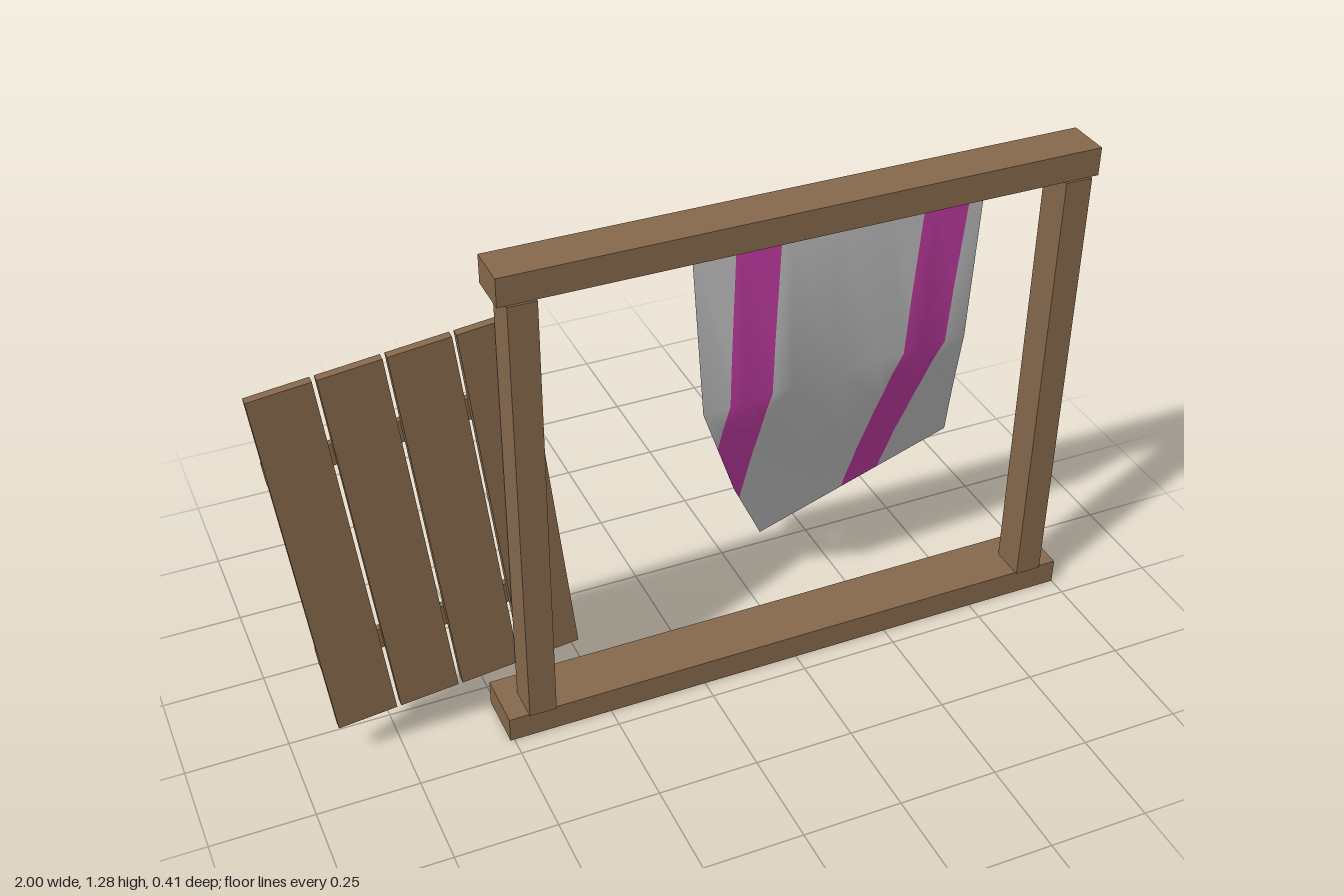
import * as THREE from 'three';
import { mergeVertices } from 'three/addons/utils/BufferGeometryUtils.js';

const material = (name, color, side = THREE.FrontSide) => {
  const m = new THREE.MeshStandardMaterial({ color, side });
  m.name = name;
  return m;
};

// Box given by its extents on each axis
function bar(name, mat, [x0, x1], [y0, y1], [z0, z1]) {
  const mesh = new THREE.Mesh(new THREE.BoxGeometry(x1 - x0, y1 - y0, z1 - z0), mat);
  mesh.position.set((x0 + x1) / 2, (y0 + y1) / 2, (z0 + z1) / 2);
  mesh.name = name;
  return mesh;
}

// Keep the part of a polygon where sign * (x - limit) >= 0
function clipX(poly, limit, sign) {
  const out = [];
  poly.forEach((a, i) => {
    const b = poly[(i + 1) % poly.length];
    const da = sign * (a.x - limit), db = sign * (b.x - limit);
    if (da >= 0) out.push(a);
    if (da * db < 0) out.push(a.clone().lerp(b, da / (da - db)));
  });
  return out;
}

// Hanging curtain: rows of left and right edge points, striped by x
function curtainGeometry() {
  const V = (x, y, z) => new THREE.Vector3(x, y, z);
  const rows = [
    [V(-0.025, 1.21, 0.16), V(0.695, 1.21, 0.16)],
    [V(0.01, 0.775, 0.15), V(0.715, 0.785, 0.105)],
    [V(0.165, 0.41, -0.005), V(0.797, 0.52, -0.05)],
    [V(0.292, 0.16, -0.11), V(0.88, 0.267, -0.2)],
  ];
  const columns = 6;
  const point = (r, c) => rows[r][0].clone().lerp(rows[r][1], c / columns);
  const triangles = [];
  for (let r = 0; r < rows.length - 1; r++) {
    for (let c = 0; c < columns; c++) {
      const a = point(r, c), b = point(r + 1, c), d = point(r + 1, c + 1), e = point(r, c + 1);
      triangles.push([a, b, d], [a, d, e]);
    }
  }
  const bounds = [-1, 0.08, 0.19, 0.545, 0.66, 2];
  const positions = [];
  const geometry = new THREE.BufferGeometry();
  for (let s = 0; s < 5; s++) {
    const start = positions.length / 3;
    for (const tri of triangles) {
      const poly = clipX(clipX(tri, bounds[s], 1), bounds[s + 1], -1);
      for (let i = 1; i < poly.length - 1; i++) {
        for (const p of [poly[0], poly[i], poly[i + 1]]) positions.push(p.x, p.y, p.z);
      }
    }
    geometry.addGroup(start, positions.length / 3 - start, s % 2);
  }
  geometry.setAttribute('position', new THREE.Float32BufferAttribute(positions, 3));
  const merged = mergeVertices(geometry);
  merged.computeVertexNormals();
  return merged;
}

export function createModel() {
  const wood = material('wood', 0x86694c);
  const cloth = material('cloth', 0xcacaca, THREE.DoubleSide);
  const stripe = material('stripe', 0xcb3fab, THREE.DoubleSide);
  const model = new THREE.Group();
  model.name = 'window';

  // Window frame
  const frame = new THREE.Group();
  frame.name = 'frame';
  frame.add(
    bar('sill', wood, [-0.51, 1], [0, 0.066], [0.055, 0.2]),
    bar('lintel', wood, [-0.48, 0.97], [1.21, 1.28], [0.091, 0.2]),
    bar('rightPost', wood, [-0.46, -0.392], [0.066, 1.21], [0.115, 0.206]),
    bar('leftPost', wood, [0.882, 0.95], [0.066, 1.21], [0.115, 0.206]),
  );
  model.add(frame);

  // Crooked shutter: four planks, two battens and a latch plate on the back
  const shutter = new THREE.Group();
  shutter.name = 'shutter';
  const width = 0.604, height = 0.956, gap = 0.01;
  const plank = (width - 3 * gap) / 4;
  for (let i = 0; i < 4; i++) {
    const x = -width / 2 + i * (plank + gap);
    shutter.add(bar('plank', wood, [x, x + plank], [-height / 2, height / 2], [0.087, 0.108]));
  }
  for (const y of [0.268, -0.275]) {
    shutter.add(bar('batten', wood, [-width / 2, width / 2], [y - 0.028, y + 0.028], [0.07, 0.087]));
  }
  shutter.add(bar('latchPlate', wood, [0.234, 0.282], [0.364, 0.45], [0.08, 0.087]));
  shutter.position.set(-0.648, 0.614, 0);
  shutter.rotation.z = THREE.MathUtils.degToRad(6.25);
  model.add(shutter);

  // Blown curtain
  const curtain = new THREE.Mesh(curtainGeometry(), [cloth, stripe]);
  curtain.name = 'curtain';
  model.add(curtain);
  return model;
}
